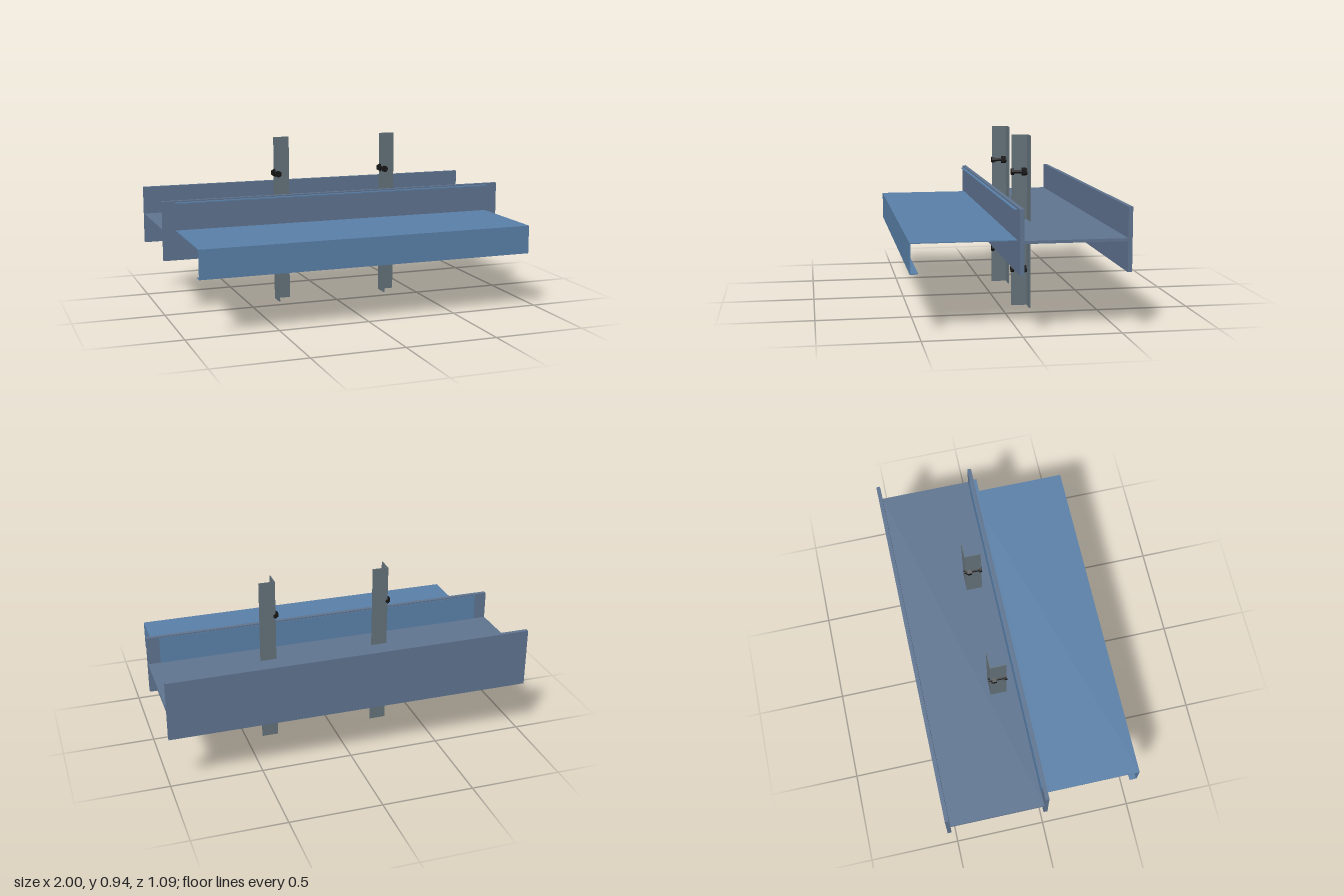
import * as THREE from 'three';

const mat = (color) => new THREE.MeshStandardMaterial({ color, flatShading: true });
const steel = mat(0x5f7490);
const sheet = mat(0x5a80a8);
const angleSteel = mat(0x64727a);
const black = mat(0x161616);

// Box given by its minimum and maximum corners
function boxBetween(name, material, [x0, y0, z0], [x1, y1, z1]) {
  const mesh = new THREE.Mesh(new THREE.BoxGeometry(x1 - x0, y1 - y0, z1 - z0), material);
  mesh.position.set((x0 + x1) / 2, (y0 + y1) / 2, (z0 + z1) / 2);
  mesh.name = name;
  return mesh;
}

// Cylinder lying along z, from z0 back to z1
function rodAlongZ(name, radius, sides, z0, z1) {
  const geometry = new THREE.CylinderGeometry(radius, radius, z0 - z1, sides);
  geometry.rotateX(Math.PI / 2);
  const mesh = new THREE.Mesh(geometry, black);
  mesh.position.z = (z0 + z1) / 2;
  mesh.name = name;
  return mesh;
}

// H-section beam lying on its side
function createBeam() {
  const beam = new THREE.Group();
  beam.name = 'beam';
  beam.add(
    boxBetween('frontFlange', steel, [-1, 0.306, -0.004], [1, 0.631, 0.018]),
    boxBetween('backFlange', steel, [-1, 0.306, -0.544], [1, 0.631, -0.522]),
    boxBetween('web', steel, [-1, 0.461, -0.522], [1, 0.476, -0.004])
  );
  return beam;
}

// Folded sheet: top lip, wall behind the flange, shelf, drop edge and return lip
function createFoldedSheet() {
  const t = 0.005, w = 0.93;
  const folds = [
    ['topLip', 0.618, -0.007, 0.623, 0.035],
    ['wall', 0.47, -0.007, 0.618, -0.007 + t],
    ['shelf', 0.47 - t, -0.007, 0.47, 0.545],
    ['dropEdge', 0.314, 0.545 - t, 0.47 - t, 0.545],
    ['returnLip', 0.314, 0.504, 0.314 + t, 0.545 - t],
  ];
  const group = new THREE.Group();
  group.name = 'foldedSheet';
  for (const [name, y0, z0, y1, z1] of folds) {
    group.add(boxBetween(name, sheet, [-w, y0, z0], [w, y1, z1]));
  }
  return group;
}

// Upright L-section, its outer corner at the back and at x = 0
function createAnglePost() {
  const s = 0.09, t = 0.005, zFront = -0.064;
  const profile = new THREE.Shape([
    [0, 0], [s, 0], [s, t], [t, t], [t, s], [0, s],
  ].map(([x, y]) => new THREE.Vector2(x, -y)));
  const geometry = new THREE.ExtrudeGeometry(profile, { depth: 0.935, bevelEnabled: false });
  geometry.rotateX(-Math.PI / 2);
  const post = new THREE.Mesh(geometry, angleSteel);
  post.position.z = zFront - s;
  post.name = 'anglePost';
  return post;
}

// Bolt with head, shank and nut
function createBolt() {
  const bolt = new THREE.Group();
  bolt.name = 'bolt';
  bolt.add(
    rodAlongZ('head', 0.018, 12, -0.062, -0.077),
    rodAlongZ('shank', 0.0105, 12, -0.077, -0.162),
    rodAlongZ('nut', 0.023, 6, -0.12, -0.144),
    rodAlongZ('washer', 0.019, 12, -0.144, -0.149)
  );
  return bolt;
}

export function createModel() {
  const model = new THREE.Group();
  model.name = 'beamAssembly';
  model.add(createBeam(), createFoldedSheet());

  // Two bolted posts passing through the web
  for (const x of [-0.326, 0.318]) {
    const support = new THREE.Group();
    support.name = 'boltedPost';
    support.position.x = x;
    support.add(createAnglePost());
    for (const y of [0.202, 0.735]) {
      const bolt = createBolt();
      bolt.position.set(0.002, y, 0);
      support.add(bolt);
    }
    model.add(support);
  }
  return model;
}
